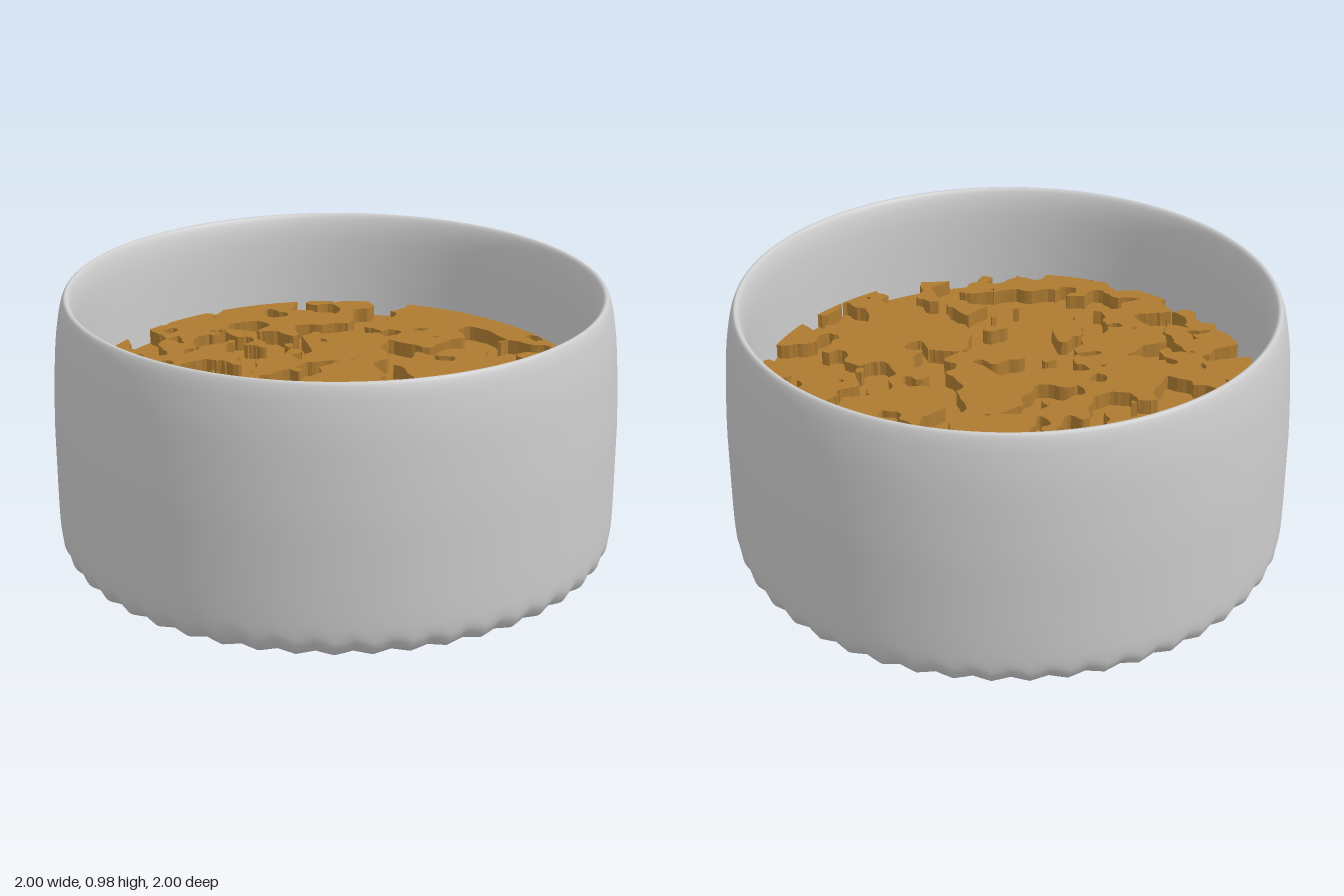
import * as THREE from 'three';
import { mergeVertices } from 'three/addons/utils/BufferGeometryUtils.js';

const SOIL_TOP = 0.63, SOIL_LOW = 0.575, SOIL_R = 0.908;

// Seeded value noise used to break the soil into clumps
function hash(i, j) {
  const s = Math.sin(i * 127.1 + j * 311.7) * 43758.5453;
  return s - Math.floor(s);
}
function noise(x, z) {
  const i = Math.floor(x), j = Math.floor(z);
  const u = THREE.MathUtils.smoothstep(x - i, 0, 1), v = THREE.MathUtils.smoothstep(z - j, 0, 1);
  const a = THREE.MathUtils.lerp(hash(i, j), hash(i + 1, j), u);
  const b = THREE.MathUtils.lerp(hash(i, j + 1), hash(i + 1, j + 1), u);
  return THREE.MathUtils.lerp(a, b, v);
}
const clump = (x, z) => noise(x * 9 + 20, z * 9 + 20) + 0.6 * noise(x * 21 + 50, z * 21 + 50) - 0.78;

// Pot: one closed profile, up the outside, over the rim and down the inside
function makePot() {
  const profile = [
    [0, 0], [0.4, 0.005], [0.75, 0.015], [0.9, 0.028], [0.96, 0.045], [0.988, 0.08], [0.997, 0.13],
    [1, 0.25], [1, 0.5], [0.993, 0.68], [0.983, 0.82], [0.968, 0.92], [0.955, 0.968], [0.943, 0.982],
    [0.928, 0.97], [0.914, 0.92], [0.907, 0.84], [0.905, 0.7], [0.905, 0.4], [0.9, 0.15],
    [0.85, 0.1], [0.4, 0.1], [0, 0.1],
  ].map(([x, y]) => new THREE.Vector2(x, y));
  const points = new THREE.SplineCurve(profile).getPoints(88);
  points.forEach((p) => p.set(THREE.MathUtils.clamp(p.x, 0, 1), Math.max(p.y, 0)));
  let geo = new THREE.LatheGeometry(points, 192);

  // Scalloped ripple around the rounded foot
  const pos = geo.attributes.position;
  for (let i = 0; i < pos.count; i++) {
    const x = pos.getX(i), y = pos.getY(i), z = pos.getZ(i);
    const r = Math.hypot(x, z);
    if (r < 0.8 || y > 0.14) continue;
    const w = THREE.MathUtils.smoothstep(r, 0.8, 0.96) * (1 - THREE.MathUtils.smoothstep(y, 0.06, 0.14));
    const wave = 0.5 + 0.5 * Math.cos(48 * Math.atan2(z, x));
    const k = 1 - 0.012 * w * wave;
    pos.setXYZ(i, x * k, y + 0.01 * w * wave, z * k);
  }
  geo.deleteAttribute('normal');
  geo.deleteAttribute('uv');
  geo = mergeVertices(geo, 1e-4);
  geo.computeVertexNormals();
  return geo;
}

// Soil: a disc cut along the noise contour into high and low patches joined by steep walls
function makeSoil() {
  const out = [];
  const put = (p, y) => out.push(p.x, y, p.z);
  const fan = (poly, y) => {
    for (let i = 1; i < poly.length - 1; i++) [poly[0], poly[i], poly[i + 1]].forEach((p) => put(p, y));
  };
  const splitTriangle = (tri) => {
    const high = [], low = [], cut = [];
    tri.forEach((a, i) => {
      const b = tri[(i + 1) % 3];
      (a.f > 0 ? high : low).push(a);
      if ((a.f > 0) !== (b.f > 0)) {
        const t = a.f / (a.f - b.f);
        const c = { x: a.x + (b.x - a.x) * t, z: a.z + (b.z - a.z) * t };
        high.push(c);
        low.push(c);
        // c0 is where the outline leaves the high patch
        if (a.f > 0) cut.unshift(c); else cut.push(c);
      }
    });
    fan(high, SOIL_TOP);
    fan(low, SOIL_LOW);
    if (cut.length === 2) {
      const [p, q] = cut;
      put(p, SOIL_TOP); put(p, SOIL_LOW); put(q, SOIL_LOW);
      put(p, SOIL_TOP); put(q, SOIL_LOW); put(q, SOIL_TOP);
    }
  };

  const rings = 44, segs = 160;
  const vertex = (i, j) => {
    const r = (SOIL_R * i) / rings, a = ((j % segs) / segs) * Math.PI * 2;
    const x = r * Math.cos(a), z = r * Math.sin(a);
    return { x, z, f: clump(x, z) };
  };
  for (let i = 0; i < rings; i++) {
    for (let j = 0; j < segs; j++) {
      const a = vertex(i, j), b = vertex(i, j + 1), c = vertex(i + 1, j), d = vertex(i + 1, j + 1);
      splitTriangle([a, d, c]);
      if (i > 0) splitTriangle([a, b, d]);
    }
  }
  const geo = new THREE.BufferGeometry();
  geo.setAttribute('position', new THREE.Float32BufferAttribute(out, 3));
  geo.computeVertexNormals();
  return geo;
}

export function createModel() {
  const group = new THREE.Group();
  group.name = 'plantPot';

  const pot = new THREE.Mesh(makePot(), new THREE.MeshStandardMaterial({ color: 0xcccccc }));
  pot.name = 'pot';

  const soil = new THREE.Mesh(
    makeSoil(),
    new THREE.MeshStandardMaterial({ color: 0xae7b31, side: THREE.DoubleSide, flatShading: true }),
  );
  soil.name = 'soil';

  group.add(pot, soil);
  return group;
}
